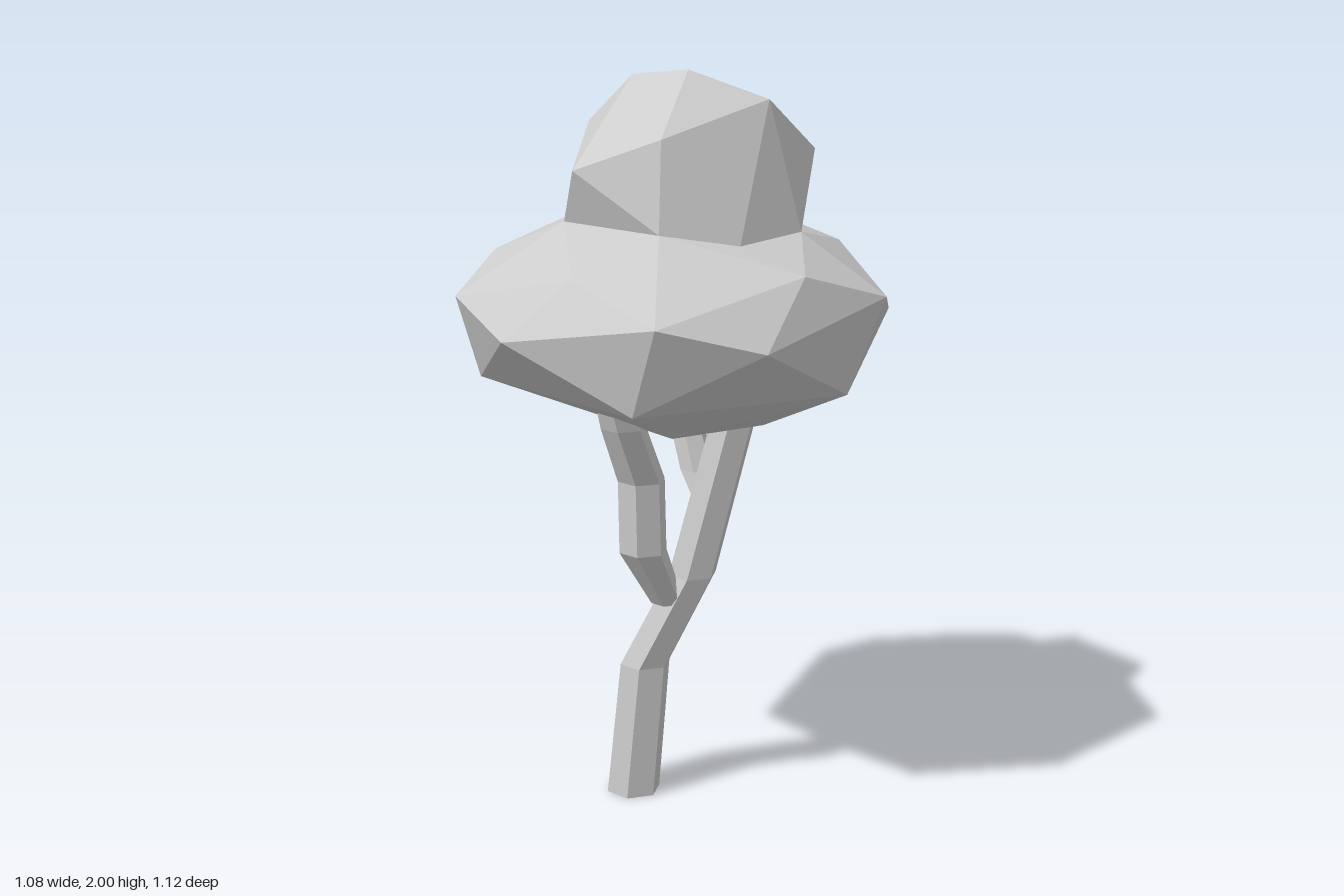
import * as THREE from 'three';
import { ConvexGeometry } from 'three/addons/geometries/ConvexGeometry.js';

const material = new THREE.MeshStandardMaterial({ color: 0xcccccc, flatShading: true });

// Bent six-sided limb: each row of a cylinder is moved to a path station [x, y, z, radius]
function limb(name, stations) {
  const n = stations.length - 1;
  const geo = new THREE.CylinderGeometry(1, 1, n, 6, n);
  const pos = geo.attributes.position;
  for (let i = 0; i < pos.count; i++) {
    const [x, y, z, r] = stations[Math.round(pos.getY(i) + n / 2)];
    pos.setXYZ(i, x + pos.getX(i) * r, y, z + pos.getZ(i) * r);
  }
  geo.computeVertexNormals();
  const mesh = new THREE.Mesh(geo, material);
  mesh.name = name;
  return mesh;
}

// Faceted foliage clump around a handful of corner points
function clump(name, points) {
  const mesh = new THREE.Mesh(new ConvexGeometry(points.map(p => new THREE.Vector3(...p))), material);
  mesh.name = name;
  return mesh;
}

export function createModel() {
  const tree = new THREE.Group();
  tree.name = 'tree';

  // Trunk and its two side branches
  tree.add(limb('trunk', [
    [-0.155, 0, -0.04, 0.075], [-0.12, 0.38, -0.04, 0.07],
    [0.012, 0.645, -0.04, 0.067], [0.125, 1.09, -0.04, 0.063], [0.15, 1.18, -0.04, 0.06],
  ]));
  tree.add(limb('frontBranch', [
    [-0.05, 0.57, -0.01, 0.045], [-0.095, 0.74, 0.082, 0.065],
    [-0.095, 0.94, 0.097, 0.064], [-0.123, 1.1, 0.175, 0.06], [-0.135, 1.18, 0.205, 0.055],
  ]));
  tree.add(limb('backBranch', [
    [0.06, 0.82, -0.06, 0.036], [0.01, 0.92, -0.115, 0.048],
    [-0.035, 1.08, -0.145, 0.047], [-0.055, 1.18, -0.17, 0.045],
  ]));

  // Waist corners shared by both clumps
  const waist = [
    [0, 1.62, 0.295], [0.19, 1.59, 0.23], [0.31, 1.6, 0.04], [0.21, 1.59, -0.26],
    [0, 1.6, -0.335], [-0.18, 1.6, -0.28], [-0.29, 1.62, -0.15], [-0.285, 1.62, 0.13],
  ];

  // Wide lower foliage: underside, lower ring, rim, then shoulders
  tree.add(clump('lowerFoliage', [
    [0, 1.07, 0.15], [0.21, 1.08, 0], [-0.41, 1.15, -0.13], [0, 1.16, -0.41],
    [-0.02, 1.21, 0.5], [0.45, 1.21, 0.15], [0.28, 1.21, -0.4], [-0.31, 1.21, -0.4], [-0.51, 1.21, 0.15],
    [0.05, 1.44, 0.56], [0.3, 1.37, 0.45], [0.535, 1.45, 0.08], [0.51, 1.37, -0.18],
    [0.3, 1.37, -0.46], [0.07, 1.45, -0.56], [-0.36, 1.37, -0.46], [-0.54, 1.44, -0.26],
    [-0.54, 1.44, 0.25], [-0.36, 1.37, 0.45],
    [0.36, 1.53, 0.28], [0.36, 1.53, -0.28], [-0.18, 1.53, -0.46], [-0.51, 1.52, 0], [-0.18, 1.53, 0.45],
    ...waist,
  ]));

  // Small upper foliage: waist, sides, then crown
  tree.add(clump('upperFoliage', [
    [0, 1.5, 0], ...waist,
    [-0.24, 1.76, 0.21], [0, 1.85, 0.27], [0.315, 1.79, -0.13], [-0.28, 1.85, -0.11],
    [0.02, 1.91, -0.27], [0.225, 1.93, 0.04], [-0.14, 1.98, -0.02], [0.02, 2, 0.05],
  ]));
  return tree;
}
